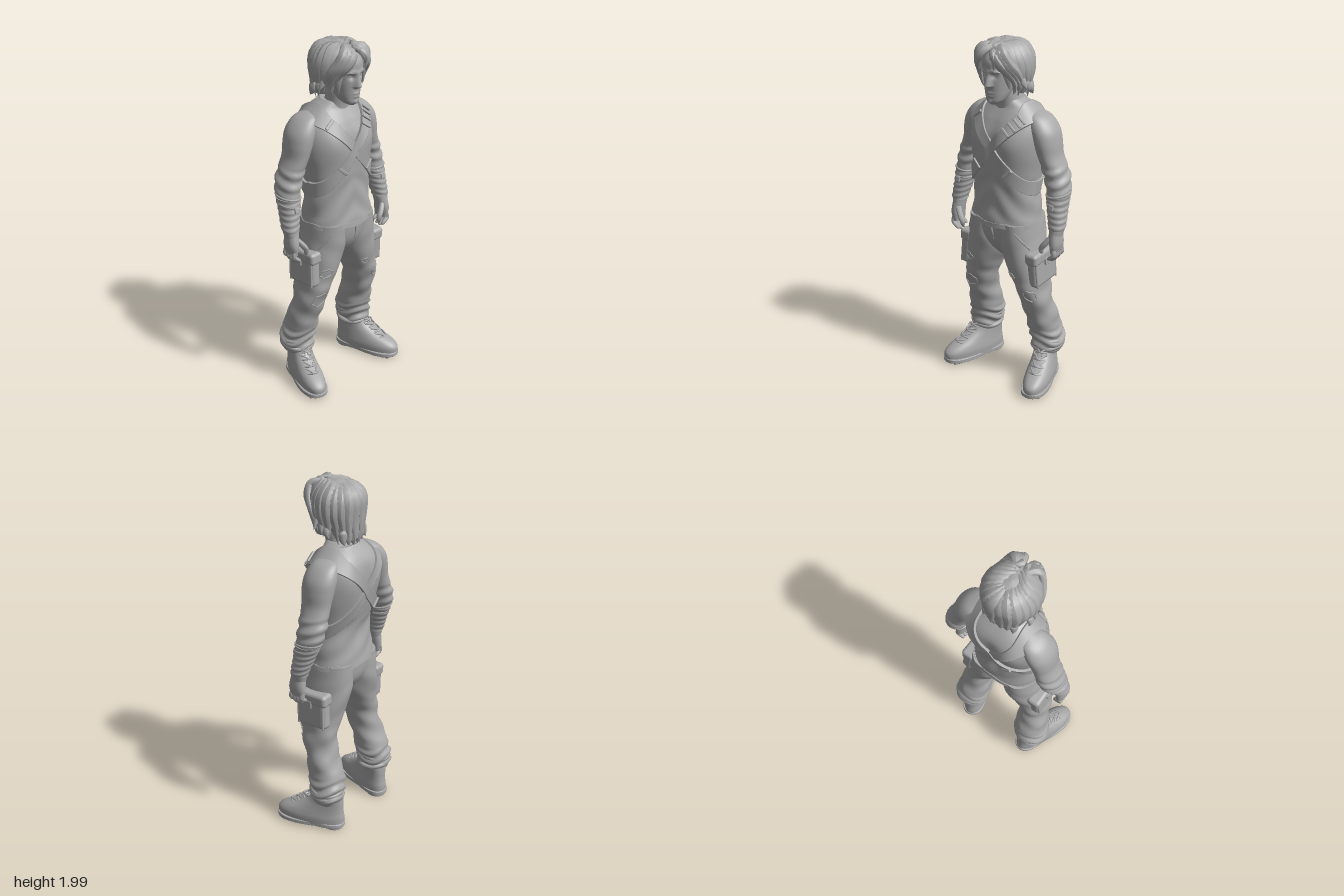
import * as THREE from 'three';
import { RoundedBoxGeometry } from 'three/addons/geometries/RoundedBoxGeometry.js';

const V = (x, y, z) => new THREE.Vector3(x, y, z);
const gauss = (d, s) => Math.exp(-(d * d) / (s * s));
const band = (y, a, b, e = 0.03) => THREE.MathUtils.smoothstep(y, a, a + e) * (1 - THREE.MathUtils.smoothstep(y, b - e, b));
const clay = new THREE.MeshStandardMaterial({ color: 0xa8a8a8 });
clay.name = 'clay grey';

// Smoothly interpolate rows of [y, centreX, centreZ, radiusX, radiusZ]
function at(rows, y) {
  const n = rows.length;
  y = THREE.MathUtils.clamp(y, rows[0][0], rows[n - 1][0]);
  let i = 0;
  while (i < n - 2 && y > rows[i + 1][0]) i++;
  const h = rows[i + 1][0] - rows[i][0], t = (y - rows[i][0]) / h;
  const slope = (k, c) => {
    const a = rows[Math.max(k - 1, 0)], b = rows[Math.min(k + 1, n - 1)];
    return (b[c] - a[c]) / (b[0] - a[0]);
  };
  return [1, 2, 3, 4].map(c => {
    const p = rows[i][c], q = rows[i + 1][c], t2 = t * t, t3 = t2 * t;
    return (2 * t3 - 3 * t2 + 1) * p + (t3 - 2 * t2 + t) * h * slope(i, c) + (3 * t2 - 2 * t3) * q + (t3 - t2) * h * slope(i + 1, c);
  });
}
// Body surface: angle 90 degrees faces forward; bump pushes outward
function surface(rows, p = 2.2, bump = () => 0) {
  return (th, y) => {
    const [x, z, rx, rz] = at(rows, y), c = Math.cos(th), s = Math.sin(th), k = bump(th, y);
    const f = a => Math.sign(a) * Math.abs(a) ** (2 / p);
    return V(x + Math.max(rx, 0.001) * f(c) + k * c, y, z + Math.max(rz, 0.001) * f(s) + k * s);
  };
}
function grid(point, rows, cols) {
  const pos = [], idx = [];
  for (let i = 0; i < rows; i++) for (let j = 0; j < cols; j++) pos.push(...point(i, j).toArray());
  for (let i = 0; i < rows - 1; i++) for (let j = 0; j < cols; j++) {
    const a = i * cols + j, b = i * cols + (j + 1) % cols;
    idx.push(a, a + cols, b, b, a + cols, b + cols);
  }
  const g = new THREE.BufferGeometry();
  g.setAttribute('position', new THREE.Float32BufferAttribute(pos, 3));
  g.setIndex(idx);
  g.computeVertexNormals();
  return g;
}
// Closed skin over a body surface
function skin(f, y0, y1, rows = 30, cols = 32) {
  return grid((i, j) => {
    const y = y0 + (y1 - y0) * THREE.MathUtils.clamp((i - 2) / (rows - 1), 0, 1), th = j / cols * Math.PI * 2;
    if (i > 0 && i < rows + 3) return f(th, y);
    return f(0, y).add(f(Math.PI, y)).multiplyScalar(0.5);
  }, rows + 4, cols);
}
// Tapered tube, optionally flattened toward a centre
function strand(pts, r, taper = t => Math.sqrt(1 - t ** 6), flat = 1, centre = V(0, 1.83, 0)) {
  const curve = new THREE.CatmullRomCurve3(pts.map(p => V(...p))), n = 16, m = 8;
  const g = new THREE.TubeGeometry(curve, n, r, m), a = g.attributes.position;
  for (let i = 0; i <= n; i++) for (let j = 0; j <= m; j++) {
    const k = i * (m + 1) + j, c = curve.getPointAt(i / n);
    const o = V(0, 0, 0).fromBufferAttribute(a, k).sub(c).multiplyScalar(taper(i / n));
    const d = c.clone().sub(centre).normalize();
    o.addScaledVector(d, -o.dot(d) * (1 - flat)).add(c);
    a.setXYZ(k, o.x, o.y, o.z);
  }
  g.computeVertexNormals();
  return g;
}
function normalAt(f, th, y) {
  const p = f(th, y), e = 0.01;
  return f(th, y + e).sub(f(th, y - e)).cross(f(th + e, y).sub(f(th - e, y))).normalize();
}

const H = Math.PI / 2;
const torsoF = surface([[0.985, 0, 0, 0.207, 0.16], [1.1, 0, 0, 0.194, 0.144], [1.2, 0, 0, 0.188, 0.138], [1.3, 0, -0.01, 0.2, 0.152],
  [1.4, 0, -0.018, 0.215, 0.162], [1.5, 0, -0.026, 0.215, 0.158], [1.57, 0, -0.035, 0.2, 0.138], [1.61, 0, -0.037, 0.172, 0.115],
  [1.64, 0, -0.032, 0.13, 0.092], [1.675, 0, -0.015, 0.075, 0.07]], 2.3,
(th, y) => {
  const s = Math.sin(th), c = Math.cos(th), low = band(y, 0.98, 1.3, 0.08);
  if (s > 0) return 0.014 * gauss(Math.abs(c) - 0.45, 0.35) * gauss(y - 1.46, 0.08) - 0.008 * gauss(c, 0.1) * gauss(y - 1.4, 0.16)
    + 0.004 * low * Math.sin(y * 38 + Math.abs(c) * 9);
  return 0.014 * gauss(Math.abs(c) - 0.5, 0.3) * gauss(y - 1.5, 0.1) - 0.008 * gauss(c, 0.12) * band(y, 1.05, 1.6, 0.1) + 0.003 * low * Math.sin(y * 42 + c * 6);
});
// Trouser leg with creases crossing at two slants
const legF = surface([[0.18, 0.222, -0.09, 0.076, 0.082], [0.22, 0.225, -0.09, 0.09, 0.092], [0.27, 0.22, -0.09, 0.095, 0.094], [0.33, 0.21, -0.078, 0.094, 0.098],
  [0.42, 0.205, -0.052, 0.088, 0.094], [0.5, 0.196, -0.025, 0.082, 0.096], [0.58, 0.185, -0.008, 0.084, 0.105], [0.68, 0.158, -0.004, 0.097, 0.118],
  [0.78, 0.126, -0.005, 0.11, 0.136], [0.88, 0.11, -0.005, 0.108, 0.148], [1.01, 0.1, -0.002, 0.1, 0.15]], 2.2,
(th, y) => 0.007 * band(y, 0.18, 0.36, 0.05) * Math.sin(y * 100 + Math.sin(th * 2 + 1) * 2.4)
  + 0.003 * band(y, 0.32, 0.7, 0.1) * (Math.sin(y * 48 + th * 2) + Math.sin(y * 27 - th * 3 + 1))
  + 0.003 * band(y, 0.62, 0.95, 0.1) * Math.sin(y * 30 + th * 3));
const armRows = [[0.97, 0.335, 0.012, 0.033, 0.043], [1.02, 0.335, 0.002, 0.042, 0.046], [1.12, 0.32, -0.022, 0.052, 0.058], [1.2, 0.31, -0.042, 0.06, 0.07],
  [1.26, 0.298, -0.052, 0.064, 0.078], [1.33, 0.276, -0.052, 0.063, 0.08], [1.4, 0.25, -0.046, 0.06, 0.084], [1.47, 0.232, -0.044, 0.068, 0.092],
  [1.53, 0.213, -0.045, 0.071, 0.093], [1.58, 0.188, -0.046, 0.06, 0.08], [1.61, 0.164, -0.045, 0.042, 0.058], [1.627, 0.14, -0.042, 0.01, 0.014]];
const armF = surface(armRows, 2.1, (th, y) => 0.005 * band(y, 1.2, 1.36, 0.04) * Math.sin(y * 95 + Math.sin(th) * 2.5));
const wrapF = surface(armRows, 2.1, (th, y) => 0.003 + 0.002 * Math.sin(y * 190 + Math.sin(th + 1) * 2));
const faceF = surface([[1.665, 0, 0.115, 0.014, 0.014], [1.68, 0, 0.1, 0.04, 0.044], [1.71, 0, 0.08, 0.058, 0.068], [1.75, 0, 0.06, 0.07, 0.092],
  [1.8, 0, 0.05, 0.079, 0.106], [1.85, 0, 0.045, 0.083, 0.116], [1.9, 0, 0.045, 0.08, 0.115], [1.95, 0, 0.04, 0.06, 0.09]], 2.2,
(th, y) => {
  const a = th - H, b = Math.abs(a);
  const nose = y > 1.772 ? THREE.MathUtils.clamp((1.86 - y) / 0.085, 0, 1) : THREE.MathUtils.clamp((y - 1.758) / 0.014, 0, 1);
  return 0.03 * nose * gauss(a, 0.1 + 0.1 * nose) - 0.012 * gauss(b - 0.36, 0.2) * gauss(y - 1.826, 0.016) + 0.007 * gauss(b - 0.35, 0.3) * gauss(y - 1.85, 0.013)
    + 0.005 * gauss(a, 0.24) * (gauss(y - 1.733, 0.007) + gauss(y - 1.716, 0.008)) + 0.006 * gauss(a, 0.2) * gauss(y - 1.685, 0.012);
});

export function createModel() {
  const root = new THREE.Group();
  const add = (parent, name, geo, pos, rot) => {
    const m = new THREE.Mesh(geo, clay);
    m.name = name;
    if (pos) m.position.set(...pos);
    if (rot) m.rotation.set(...rot);
    parent.add(m);
    return m;
  };
  const disc = (r, x, y, z) => new THREE.SphereGeometry(r, 14, 10).scale(x, y, z);

  // Shirt, hem, collar and neck
  add(root, 'shirt', skin(torsoF, 0.985, 1.675, 74, 72));
  add(root, 'shirtHem', skin((th, y) => torsoF(th, y).multiply(V(1.02, 1, 1.02)).setY(y + 0.005 * Math.sin(th * 7)), 0.985, 1.01, 4, 64));
  add(root, 'collar', new THREE.TorusGeometry(0.088, 0.008, 8, 40).scale(1.15, 1.05, 1), [0, 1.632, -0.012], [H + 0.42, 0, 0]);
  add(root, 'neck', skin(surface([[1.58, 0, -0.01, 0.085, 0.075], [1.64, 0, 0, 0.07, 0.066], [1.74, 0, 0.025, 0.062, 0.06]]), 1.58, 1.74, 12));

  // Crossed straps: a tilted slice of the torso
  for (const s of [1, -1]) {
    const yAt = th => {
      let y = 1.43;
      for (let k = 0; k < 60; k++) y += 0.2 * (THREE.MathUtils.clamp(1.425 + 1.17 * s * torsoF(th, y).x, 1.2, 1.625) - y);
      return y;
    };
    const lift = s > 0 ? 0.014 : 0.01, n = 96, dy = [-0.04, -0.04, -0.038, 0.038, 0.04, 0.04], off = [-0.01, lift, lift, lift, lift, -0.01];
    add(root, s > 0 ? 'ammunitionStrap' : 'chestStrap', grid((i, j) => {
      const th = j / n * Math.PI * 2, y = yAt(th);
      return torsoF(th, y + dy[i]).addScaledVector(normalAt(torsoF, th, y), off[i]);
    }, 6, n));
    const fitting = (name, geo, th) => {
      const y = yAt(th), nrm = normalAt(torsoF, th, y);
      const along = torsoF(th - 0.05, yAt(th - 0.05)).sub(torsoF(th + 0.05, yAt(th + 0.05)));
      along.addScaledVector(nrm, -along.dot(nrm)).normalize();
      const m = add(root, name, geo);
      m.quaternion.setFromRotationMatrix(new THREE.Matrix4().makeBasis(along, nrm.clone().cross(along), nrm));
      m.position.copy(torsoF(th, y)).addScaledVector(nrm, lift + 0.003);
    };
    if (s > 0) for (let k = 0; k < 4; k++) fitting('cartridgeLoop', new RoundedBoxGeometry(0.014, 0.062, 0.012, 2, 0.004), 0.8 + k * 0.14);
    for (const th of s > 0 ? [1.95, 4.3] : [1.1, 2.2]) fitting('buckle', new RoundedBoxGeometry(0.018, 0.064, 0.012, 2, 0.004), th);
  }

  // Trousers at the hips
  add(root, 'hips', skin(surface([[0.775, 0, 0, 0.03, 0.05], [0.83, 0, 0, 0.09, 0.1], [0.9, 0, -0.002, 0.16, 0.138], [1.01, 0, 0, 0.198, 0.152]], 2.3), 0.775, 1.01, 16, 40));
  add(root, 'flySeam', strand([[0, 0.99, 0.15], [0.01, 0.94, 0.143], [0.008, 0.89, 0.132]], 0.005));

  // Paired limbs
  for (const s of [1, -1]) {
    const side = new THREE.Group();
    side.name = s > 0 ? 'leftLimbs' : 'rightLimbs';
    side.scale.x = s;
    root.add(side);
    add(side, 'sleeveArm', skin(armF, 0.97, 1.627, 76, 32));
    add(side, 'forearmWrap', skin(wrapF, 1.01, 1.19, 40, 28));
    for (const [y, r] of [[1.195, 0.06], [1.155, 0.056]]) {
      const [x, z, rx, rz] = at(armRows, y);
      add(side, 'bracerBand', new THREE.TorusGeometry(1, 0.11, 6, 28).rotateX(H).scale(rx + 0.001, r, rz + 0.001), [x, y, z], [0.1, 0, 0.12]);
    }
    add(side, 'bracerBuckle', new RoundedBoxGeometry(0.028, 0.03, 0.012, 2, 0.004), [0.32, 1.135, 0.04], [-0.25, 0, 0]);

    // Hand
    add(side, 'palm', skin(surface([[0.875, 0.34, 0.012, 0.02, 0.044], [0.93, 0.342, 0.014, 0.03, 0.05], [1, 0.335, 0.01, 0.033, 0.04]]), 0.875, 1, 14, 24));
    for (let k = 0; k < 4; k++) {
      const z = 0.045 - k * 0.023, d = [0.01, 0, 0.004, 0.018][k];
      add(side, 'finger', strand([[0.342, 0.91, z], [0.352, 0.87, z + 0.003], [0.335, 0.842 + d, z + 0.004], [0.308, 0.822 + d, z + 0.004]], 0.0135));
    }
    add(side, 'thumb', strand([[0.325, 0.965, 0.035], [0.295, 0.925, 0.055], [0.276, 0.895, 0.06], [0.278, 0.86, 0.056]], 0.016));

    // Trouser leg, cuffs, torn patches
    add(side, 'trouserLeg', skin(legF, 0.18, 1.01, 100, 44));
    for (const [y, t] of [[0.215, 0.1], [0.265, -0.12]]) add(side, 'cuffRoll', new THREE.TorusGeometry(0.083, 0.015, 8, 32).rotateX(H), [0.222, y, -0.09], [t, 0, t]);
    add(side, 'pocketSeam', strand([0, 1, 2, 3].map(k => legF(0.5 + k * 0.22, 0.87 + k * 0.035).toArray()), 0.005));
    for (const [a, y, r] of s > 0 ? [[1.1, 0.59, 0.04], [1.9, 0.7, 0.02]] : [[1.4, 0.56, 0.05], [1.2, 0.73, 0.03]]) {
      const rim = [];
      for (let k = 0; k < 14; k++) {
        const w = r * (1 + 0.12 * Math.sin(k * 2.6)), q = k / 14 * Math.PI * 2, th = a + Math.cos(q) * w / 0.095, yy = y + Math.sin(q) * w * 0.8;
        rim.push(legF(th, yy));
      }
      add(side, 'tornEdge', new THREE.TubeGeometry(new THREE.CatmullRomCurve3(rim, true), 56, 0.004, 6, true));
    }

    // Thigh pouch
    const pouch = new THREE.Group();
    pouch.name = 'thighPouch';
    pouch.position.set(0.232, 0.745, -0.006);
    pouch.rotation.set(0.06 * s, 0, 0.05);
    side.add(pouch);
    add(pouch, 'pouchBody', new RoundedBoxGeometry(0.07, 0.19, 0.195, 4, 0.026));
    add(pouch, 'pouchFlap', new RoundedBoxGeometry(0.08, 0.07, 0.212, 4, 0.02), [0.002, 0.08, 0], [0, 0, -0.06]);
    add(pouch, 'pouchClasp', new RoundedBoxGeometry(0.012, 0.045, 0.03, 2, 0.004), [0.038, 0.045, 0]);
    for (const z of [-0.084, 0.084]) add(pouch, 'pouchPiping', new THREE.CapsuleGeometry(0.007, 0.15, 4, 8), [0.028, -0.01, z]);

    // Boot, turned outward
    const boot = new THREE.Group();
    boot.name = 'boot';
    boot.position.set(0.215, 0, -0.092);
    boot.rotation.y = 0.31;
    side.add(boot);
    add(boot, 'bootUpper', skin(surface([[0.025, 0, 0.106, 0.072, 0.198], [0.07, 0, 0.106, 0.075, 0.198], [0.1, 0, 0.09, 0.071, 0.178], [0.13, 0, 0.058, 0.066, 0.144],
      [0.17, 0, 0.022, 0.062, 0.108], [0.21, 0, 0.004, 0.064, 0.088], [0.24, 0, 0, 0.066, 0.084]], 2.3), 0.025, 0.24, 26, 40));
    const outline = new THREE.Shape();
    outline.moveTo(0, -0.092).bezierCurveTo(0.07, -0.092, 0.066, 0, 0.064, 0.06).bezierCurveTo(0.08, 0.15, 0.09, 0.304, 0, 0.304);
    outline.bezierCurveTo(-0.09, 0.304, -0.08, 0.15, -0.064, 0.06).bezierCurveTo(-0.066, 0, -0.07, -0.092, 0, -0.092);
    const sole = new THREE.ExtrudeGeometry(outline, { depth: 0.016, bevelSize: 0.004, bevelThickness: 0.004, bevelSegments: 3, curveSegments: 14 });
    add(boot, 'sole', sole.rotateX(H), [0, 0.034, 0]);
    add(boot, 'heelBlock', new THREE.CylinderGeometry(0.056, 0.054, 0.03, 24).scale(1, 1, 1.08), [0, 0.015, -0.03]);
    for (let k = 0; k < 7; k++) add(boot, 'tread', new RoundedBoxGeometry(0.125 - Math.abs(k - 3) * 0.008, 0.02, 0.022, 1, 0.004), [0, 0.01, 0.095 + k * 0.028]);
    for (let k = 0; k < 4; k++) for (const d of [1, -1]) {
      const y = 0.118 + k * 0.026, z = 0.226 - k * 0.036;
      add(boot, 'lace', strand([[-0.036 * d, y, z - 0.022], [0, y + 0.012, z], [0.036 * d, y + 0.022, z - 0.05]], 0.005));
    }
    for (const d of [1, -1]) add(boot, 'laceBow', new THREE.TorusGeometry(0.016, 0.004, 6, 16).scale(1, 0.7, 1), [0.024 * d, 0.192, 0.113], [-0.8, 0, 0.4 * d]);

    // Ear, eye and brow
    add(side, 'ear', disc(0.03, 0.4, 1.05, 0.7), [0.084, 1.805, 0.035], [0, -0.3, 0]);
    add(side, 'eye', disc(0.012, 1.1, 0.5, 0.6), [0.034, 1.826, 0.136]);
    add(side, 'brow', strand([[0.014, 1.842, 0.157], [0.036, 1.85, 0.154], [0.06, 1.847, 0.134]], 0.006));
  }

  // Head and hair
  add(root, 'face', skin(faceF, 1.665, 1.95, 90, 96));
  add(root, 'hairCap', skin(surface([[1.7, 0, -0.062, 0.085, 0.055], [1.78, 0, -0.042, 0.112, 0.082], [1.86, 0, -0.005, 0.126, 0.122], [1.93, 0, 0.015, 0.112, 0.122],
    [1.965, 0, 0.02, 0.08, 0.092], [1.982, 0, 0.015, 0.04, 0.05], [1.987, 0, 0.012, 0.005, 0.006]]), 1.7, 1.987, 36, 40));
  const lockTaper = t => Math.min(1, 0.5 + 2 * t) * Math.max(0, 1 - t ** 3);
  for (const s of [1, -1]) {
    // Broad locks leave the parting, sweep out and back, and end in loose points
    for (let k = 0; k < 9; k++) {
      const u = k / 8, j = Math.sin(k * 4.7 + s), end = 1.735 - 0.055 * Math.min(1, u * 1.5) + 0.016 * j;
      const swept = (lag, r, y, rz = r) => {
        const phi = 1.15 - u * 2.5 - lag * (1 - u);
        return [r * Math.cos(phi) * s, y, 0.008 + rz * Math.sin(phi)];
      };
      add(root, 'hairLock', strand([[0.012 * s, 1.972, 0.13 - 0.17 * u], swept(0.05, 0.075, 1.97 - 0.012 * u, 0.1), swept(0.15, 0.122, 1.92, 0.13), swept(0.25, 0.14, 1.845, 0.134),
        swept(0.35, 0.128 + 0.006 * j, 1.775, 0.132), swept(0.42, 0.112 + 0.02 * j, end, 0.13 + 0.006 * j)], 0.036 + 0.004 * j, lockTaper, 0.5));
    }
    // Fringe swept off the forehead
    for (let k = 0; k < 3; k++) {
      const d = k * 0.017;
      add(root, 'fringeLock', strand([[0.016 * s, 1.962 + d * 0.4, 0.1 - d], [(0.034 + d) * s, 1.95 + d * 0.3, 0.155 - d * 0.6], [(0.066 + d) * s, 1.905, 0.157 - d],
        [(0.095 + d) * s, 1.85, 0.12 - d], [(0.113 + d * 0.7) * s, 1.79, 0.085 - d], [(0.108 + d) * s, 1.73 + d, 0.07 - d]], 0.03, lockTaper, 0.6));
    }
    // Outward flicks and nape points
    for (let k = 0; k < 3; k++) add(root, 'hairFlick', strand([[0.115 * s, 1.84 - k * 0.03, 0.05 - k * 0.035], [0.138 * s, 1.79 - k * 0.025, 0.045 - k * 0.035],
      [(0.158 - k * 0.012) * s, 1.755 - k * 0.02, 0.04 - k * 0.04]], 0.02, lockTaper, 0.6));
    for (let k = 0; k < 3; k++) add(root, 'napePoint', strand([[(0.02 + k * 0.03) * s, 1.76, -0.105 + k * 0.008], [(0.022 + k * 0.032) * s, 1.71, -0.108 + k * 0.008],
      [(0.016 + k * 0.036) * s, 1.665 + k * 0.008, -0.105]], 0.024, lockTaper, 0.6));
  }
  add(root, 'foreheadLock', strand([[0.01, 1.962, 0.12], [0.036, 1.945, 0.168], [0.05, 1.9, 0.172], [0.04, 1.86, 0.168]], 0.018, lockTaper, 0.7));
  return root;
}
